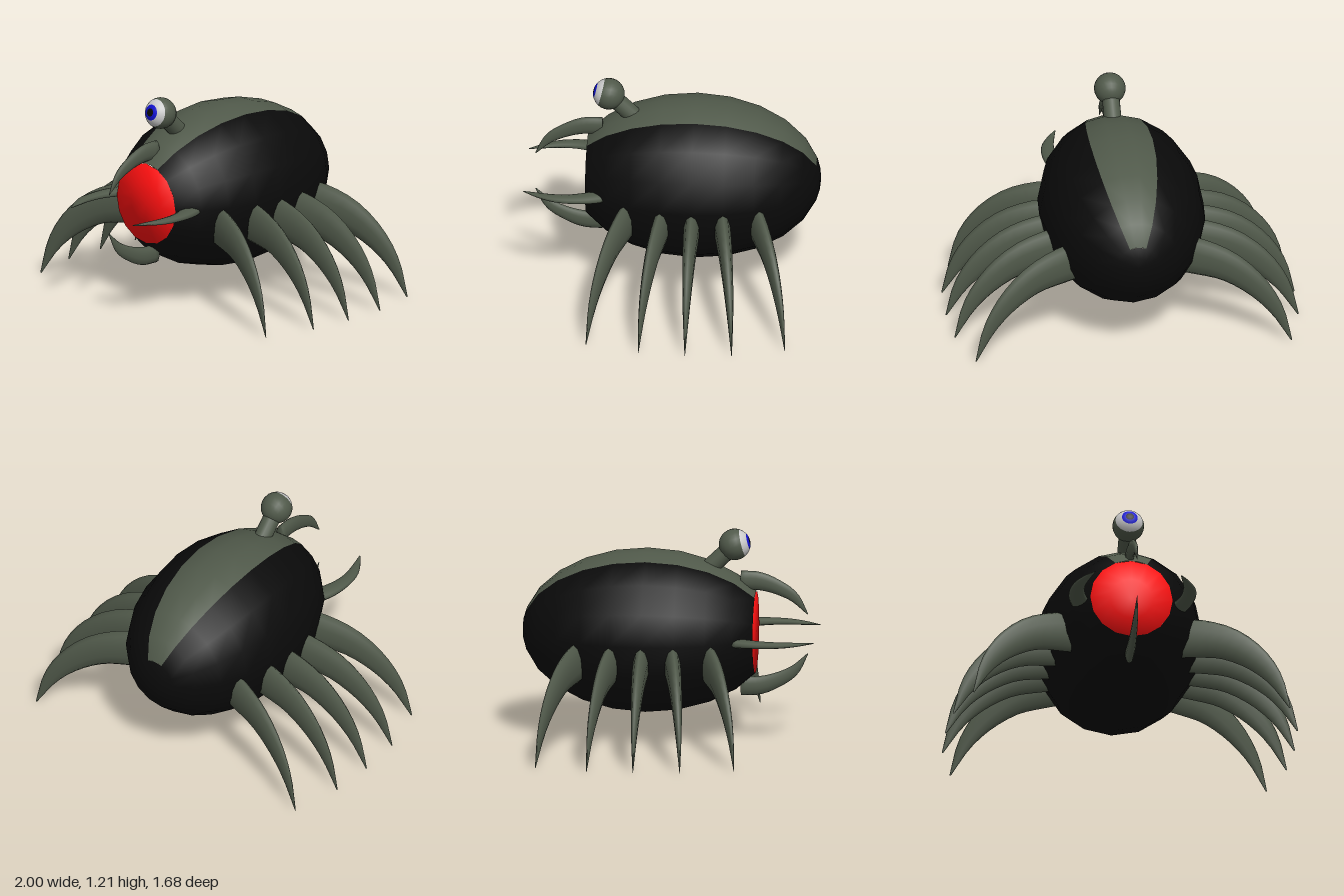
import * as THREE from 'three';

const mat = (color, extra = {}) => new THREE.MeshStandardMaterial({ color, ...extra });
const GREEN = mat(0x50594a, { side: THREE.DoubleSide });
const BLACK = mat(0x0a0a0a);
const RED = mat(0xff1010);
const WHITE = mat(0xf0f0f0);
const BLUE = mat(0x1010d0);
const deg = THREE.MathUtils.degToRad;

function add(parent, name, geometry, material) {
  const mesh = new THREE.Mesh(geometry, material);
  mesh.name = name;
  parent.add(mesh);
  return mesh;
}

// Patch of a unit sphere whose pole points to +z; angles in degrees
function patch(theta0, theta1, phi0 = 0, phi1 = 360, step = 22.5) {
  return new THREE.SphereGeometry(1, Math.round((phi1 - phi0) / step), Math.round((theta1 - theta0) / 15),
    deg(phi0), deg(phi1 - phi0), deg(theta0), deg(theta1 - theta0)).rotateX(Math.PI / 2);
}

// Curved tapering horn in the XY plane; points are [x, y, half height]
function horn(points, flatness, steps = 14, sides = 10) {
  const curve = new THREE.CatmullRomCurve3(points.map(p => new THREE.Vector3(...p)));
  const pos = [], index = [];
  for (let i = 0; i <= steps; i++) {
    const p = curve.getPoint(i / steps), t = curve.getTangent(i / steps);
    const len = Math.hypot(t.x, t.y);
    for (let j = 0; j < sides; j++) {
      const a = j / sides * Math.PI * 2, h = p.z * Math.cos(a);
      pos.push(p.x - t.y / len * h, p.y + t.x / len * h, p.z * flatness * Math.sin(a));
      if (i < steps) {
        const k = (j + 1) % sides, b = i * sides, c = b + sides;
        index.push(b + j, b + k, c + j, b + k, c + k, c + j);
      }
    }
  }
  // close the root
  for (let j = 1; j < sides - 1; j++) index.push(0, j + 1, j);
  const g = new THREE.BufferGeometry();
  g.setAttribute('position', new THREE.Float32BufferAttribute(pos, 3));
  g.setIndex(index);
  g.computeVertexNormals();
  return g;
}

export function createModel() {
  const model = new THREE.Group();
  model.name = 'creature';

  // Egg-shaped body cut off at the front, with a stripe along the back
  const body = new THREE.Group();
  body.name = 'body';
  body.position.set(-0.008, 0.62, -0.13);
  model.add(body);
  const egg = g => g.scale(0.47, 0.47, 0.71);
  add(body, 'shell', egg(patch(30, 165, 292.5, 607.5)), BLACK);
  add(body, 'backStripe', egg(patch(30, 165, 247.5, 292.5)), GREEN);
  add(body, 'tailCap', egg(patch(165, 180)), BLACK);

  // Flat mouth that keeps the rounded shading of the body
  const mouth = egg(patch(0, 30));
  const mp = mouth.attributes.position;
  for (let i = 0; i < mp.count; i++) mp.setZ(i, 0.615);
  add(body, 'mouth', mouth, RED);

  // Five fanned legs on each side
  const legGeo = horn([
    [0, 0.51, 0.12], [0.15, 0.495, 0.118], [0.32, 0.45, 0.1],
    [0.48, 0.345, 0.075], [0.6, 0.205, 0.045], [0.69, 0.01, 0.004],
  ], 0.38);
  const legs = [[0.25, 0.21, 19], [0.3, 0.025, 9], [0.305, -0.133, 0], [0.3, -0.29, -9], [0.25, -0.47, -19]];
  for (const side of [1, -1]) {
    legs.forEach(([x, z, angle], i) => {
      const leg = add(model, (side > 0 ? 'leftLeg' : 'rightLeg') + (i + 1), legGeo, GREEN);
      leg.position.set(side * x, 0, z);
      leg.rotation.y = side > 0 ? -deg(angle) : Math.PI + deg(angle);
    });
  }

  // Four fangs around the mouth, all curving inwards
  const upright = horn([
    [0.40, 0.305, 0.056], [0.5, 0.303, 0.053], [0.6, 0.272, 0.043],
    [0.7, 0.215, 0.03], [0.78, 0.115, 0.003],
  ], 0.45).rotateY(-Math.PI / 2);
  const sideways = horn([
    [0.39, 0.275, 0.056], [0.46, 0.3, 0.052], [0.56, 0.318, 0.043],
    [0.66, 0.312, 0.035], [0.75, 0.283, 0.022], [0.835, 0.245, 0.003],
  ], 0.45).rotateY(-Math.PI / 2);
  ['upperFang', 'rightFang', 'lowerFang', 'leftFang'].forEach((name, i) => {
    const fang = add(model, name, i % 2 ? sideways : upright, GREEN);
    fang.position.set(-0.01, 0.615, 0);
    fang.rotation.z = i * Math.PI / 2;
  });

  // Eye on a slanted stalk
  const stalkBase = new THREE.Vector3(-0.01, 0.975, 0.205);
  const eyeCentre = new THREE.Vector3(-0.012, 1.128, 0.365);
  const stalkAxis = eyeCentre.clone().sub(stalkBase);
  const stalk = add(model, 'eyeStalk', new THREE.CylinderGeometry(0.05, 0.05, stalkAxis.length(), 16), GREEN);
  stalk.position.copy(stalkBase).add(eyeCentre).multiplyScalar(0.5);
  stalk.quaternion.setFromUnitVectors(new THREE.Vector3(0, 1, 0), stalkAxis.normalize());

  const eye = new THREE.Group();
  eye.name = 'eye';
  eye.position.copy(eyeCentre);
  eye.rotation.x = -deg(14);
  model.add(eye);
  const bands = [['pupil', 0, 15, BLACK], ['iris', 15, 30, BLUE], ['eyeWhite', 30, 60, WHITE], ['eyelid', 60, 180, GREEN]];
  for (const [name, a, b, material] of bands) {
    add(eye, name, patch(a, b, 0, 360, 15).scale(0.09, 0.09, 0.09), material);
  }

  return model;
}
